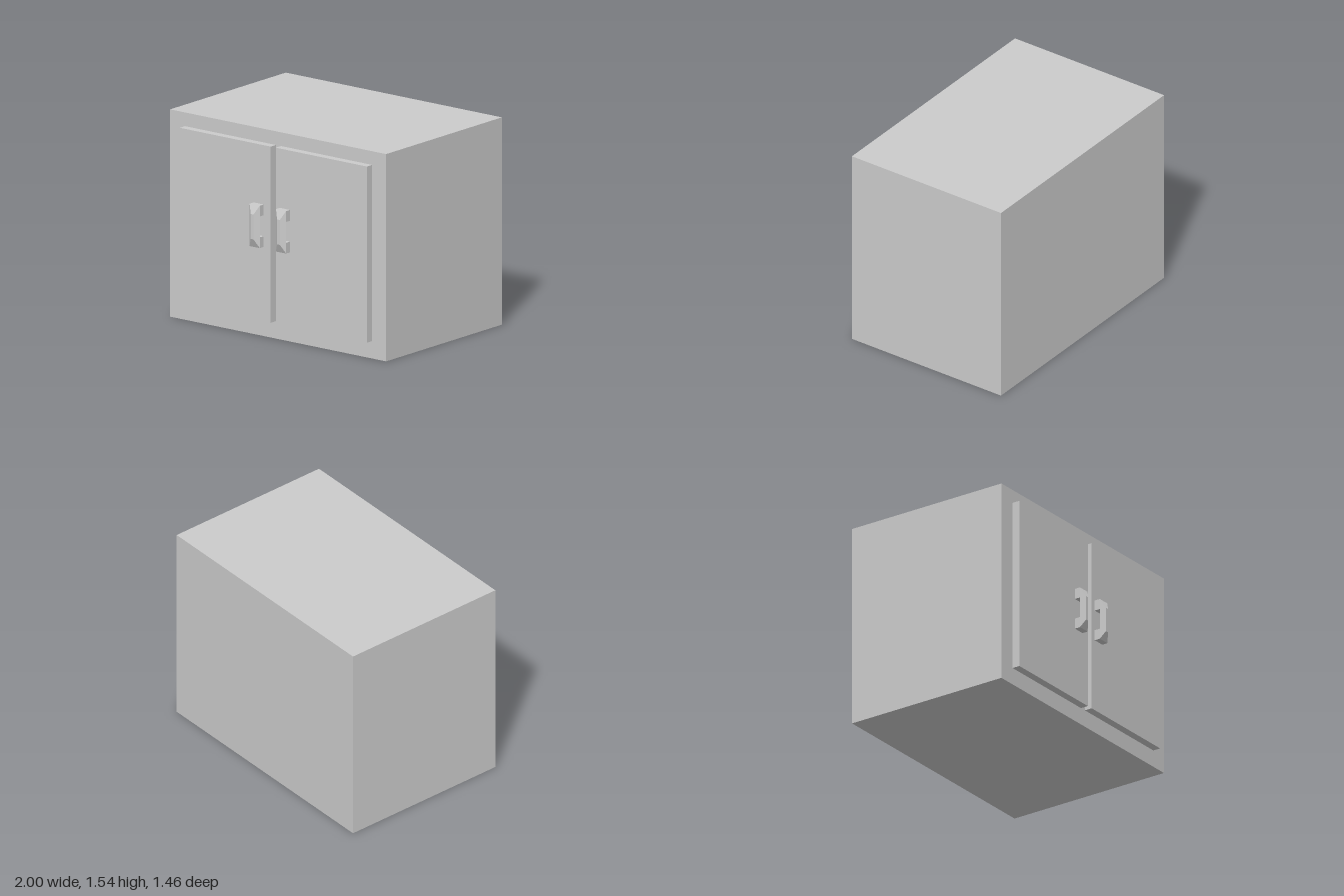
import * as THREE from 'three';

const material = new THREE.MeshStandardMaterial({ color: 0xcccccc, flatShading: true });

// Box given by its minimum and maximum corners
function box(name, [x0, y0, z0], [x1, y1, z1]) {
  const geometry = new THREE.BoxGeometry(x1 - x0, y1 - y0, z1 - z0);
  const mesh = new THREE.Mesh(geometry, material);
  mesh.position.set((x0 + x1) / 2, (y0 + y1) / 2, (z0 + z1) / 2);
  mesh.name = name;
  return mesh;
}

// Pull handle: two posts and a grip whose front face narrows to a ridge
function handle(name, x) {
  const group = new THREE.Group();
  group.name = name;
  const half = 0.047, height = 0.316, post = 0.08, back = 0.045, depth = 0.03;

  for (const [label, y] of [['lowerPost', -height / 2], ['upperPost', height / 2 - post]]) {
    group.add(box(label, [-half, y, 0], [half, y + post, back]));
  }

  const grip = box('grip', [-half, -height / 2, back], [half, height / 2, back + depth]);
  const p = grip.geometry.attributes.position;
  for (let i = 0; i < p.count; i++) {
    if (p.getZ(i) > 0) {
      p.setX(i, Math.sign(p.getX(i)) * 0.013);
      p.setY(i, Math.sign(p.getY(i)) * 0.093);
    }
  }
  grip.geometry.computeVertexNormals();
  group.add(grip);

  group.position.set(x, 0.843, 0.657);
  return group;
}

export function createModel() {
  const model = new THREE.Group();
  model.name = 'cabinet';

  // Carcass
  model.add(box('body', [-1, 0, -0.73], [1, 1.545, 0.597]));

  // Doors
  model.add(box('rightDoor', [-0.862, 0.13, 0.597], [-0.02, 1.443, 0.657]));
  model.add(box('leftDoor', [0.027, 0.13, 0.597], [0.87, 1.443, 0.657]));

  // Handles beside the centre gap
  model.add(handle('rightHandle', -0.132));
  model.add(handle('leftHandle', 0.112));

  return model;
}
